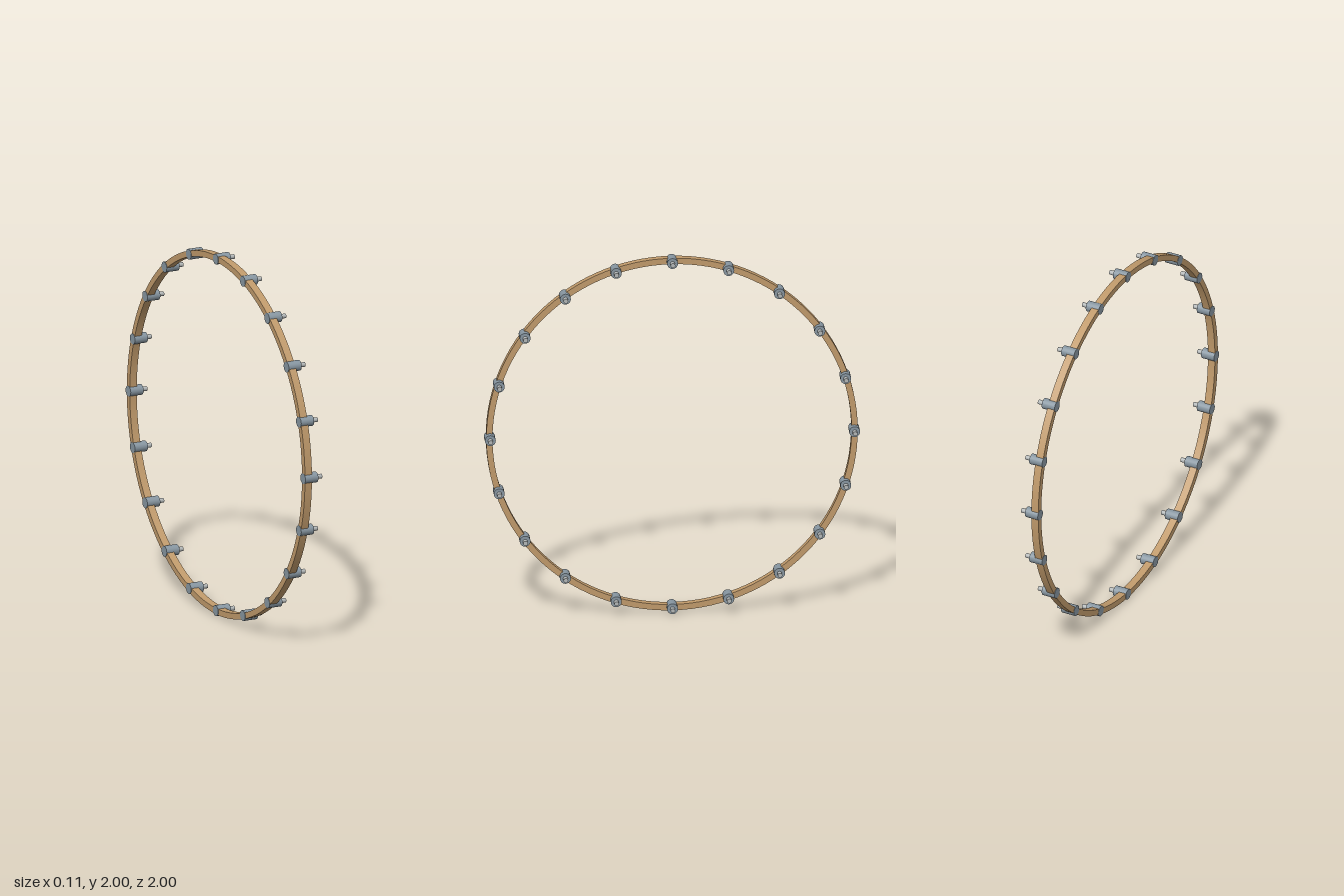
import * as THREE from 'three';

const mat = (name, color) => {
  const m = new THREE.MeshStandardMaterial({ color });
  m.name = name;
  return m;
};

export function createModel() {
  const group = new THREE.Group();
  const bronze = mat('bronze', 0xc09a6b);
  const steel = mat('steel', 0x8796a1);
  const paleMetal = mat('paleMetal', 0xb4b8b8);

  // Flat-sided hoop: a rectangular section revolved about the x axis
  const inner = 0.957, outer = 0.99, back = -0.054, front = -0.012;
  const strips = [
    [[inner, back], [outer, back]],
    [[outer, back], [outer, front]],
    [[outer, front], [inner, front]],
    [[inner, front], [inner, back]],
  ];
  const hoop = new THREE.Group();
  hoop.name = 'hoop';
  for (const strip of strips) {
    const geo = new THREE.LatheGeometry(strip.map(([r, h]) => new THREE.Vector2(r, h)), 120);
    geo.rotateZ(-Math.PI / 2);
    const face = new THREE.Mesh(geo, bronze);
    face.name = 'hoopFace';
    hoop.add(face);
  }
  hoop.position.y = 1;
  group.add(hoop);

  // Cylinder along x between two x positions
  const rod = (name, radius, x0, x1, material) => {
    const geo = new THREE.CylinderGeometry(radius, radius, x1 - x0, 20);
    geo.rotateZ(-Math.PI / 2);
    geo.translate((x0 + x1) / 2, 0, 0);
    const mesh = new THREE.Mesh(geo, material);
    mesh.name = name;
    return mesh;
  };

  // Evenly spaced studs, each with a small pin on its end
  const count = 20, radius = 0.971;
  for (let i = 0; i < count; i++) {
    const a = (i / count) * Math.PI * 2;
    const stud = new THREE.Group();
    stud.name = 'stud';
    stud.add(
      rod('studBody', 0.029, -0.056, 0.022, steel),
      rod('studPin', 0.0125, 0.02, 0.055, paleMetal),
    );
    stud.position.set(0, 1 + Math.cos(a) * radius, Math.sin(a) * radius);
    group.add(stud);
  }
  return group;
}
